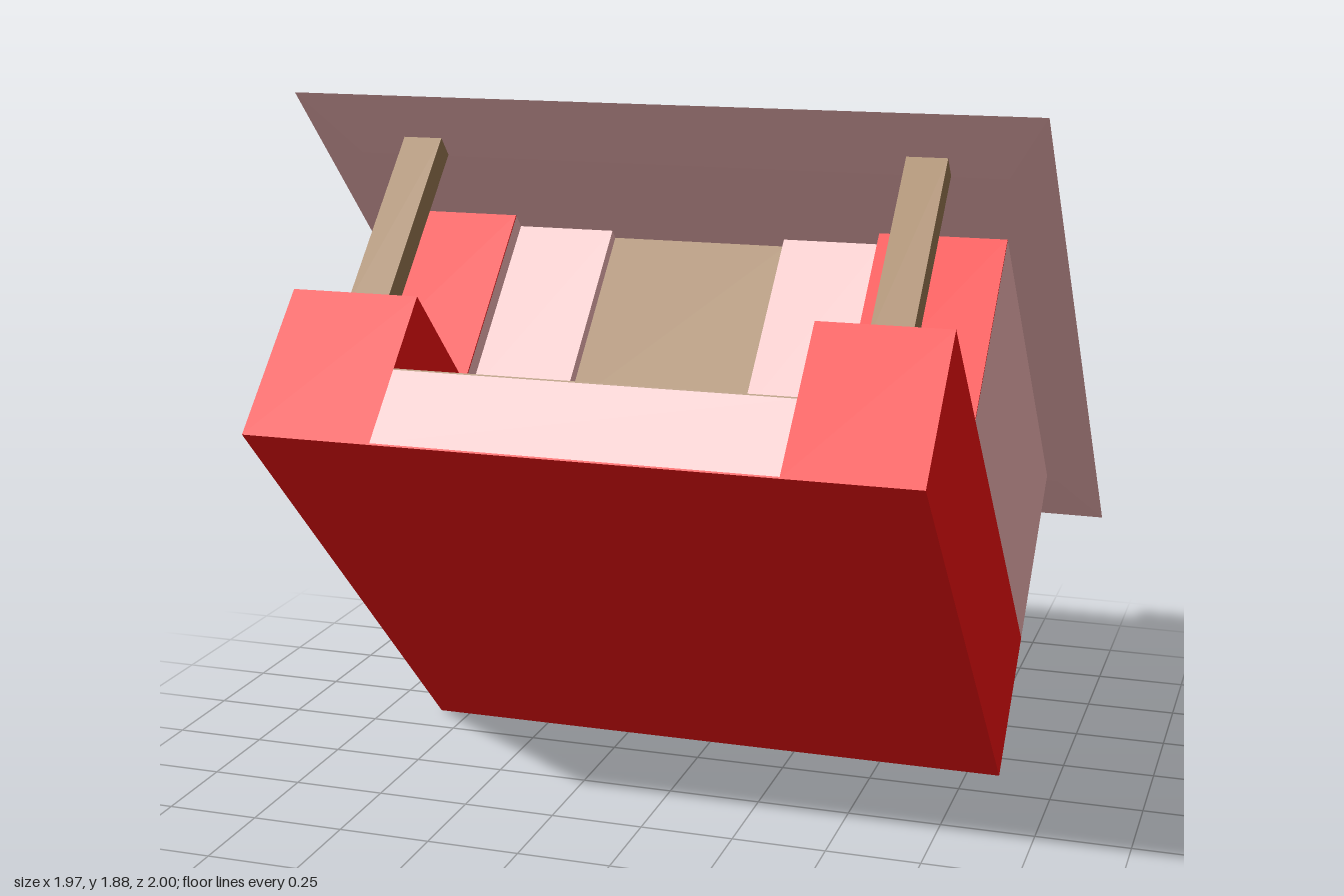
import * as THREE from 'three';

const material = (color) => new THREE.MeshStandardMaterial({ color, flatShading: true });

export function createModel() {
  const red = material(0xff1111);
  const pink = material(0xffbfbf);
  const brown = material(0x9e7c55);

  // The whole house leans back 45 degrees
  const house = new THREE.Group();
  house.name = 'house';
  house.rotation.x = -Math.PI / 4;

  // Box given by its limits on each axis
  function block(name, mat, [x0, x1], [y0, y1], [z0, z1]) {
    const mesh = new THREE.Mesh(new THREE.BoxGeometry(x1 - x0, y1 - y0, z1 - z0), mat);
    mesh.position.set((x0 + x1) / 2, (y0 + y1) / 2, (z0 + z1) / 2);
    mesh.name = name;
    house.add(mesh);
  }

  // Same box on both sides of x = 0
  function pair(name, mat, [x0, x1], y, z) {
    block(name + 'Left', mat, [x0, x1], y, z);
    block(name + 'Right', mat, [-x1, -x0], y, z);
  }

  // Four sloping sides and a flat cap between two rectangles
  function hipped(name, mat, eave, cap, facingDown) {
    const ring = ({ w, y, back, front }) =>
      [[-w, y, front], [w, y, front], [w, y, back], [-w, y, back]];
    const a = ring(eave), b = ring(cap);
    const quads = [b];
    for (let i = 0; i < 4; i++) {
      const j = (i + 1) % 4;
      quads.push([a[i], a[j], b[j], b[i]]);
    }
    const points = [];
    for (const quad of quads) {
      const [p, q, r, s] = facingDown ? [...quad].reverse() : quad;
      points.push(...p, ...q, ...r, ...p, ...r, ...s);
    }
    const geometry = new THREE.BufferGeometry();
    geometry.setAttribute('position', new THREE.Float32BufferAttribute(points, 3));
    geometry.computeVertexNormals();
    const mesh = new THREE.Mesh(geometry, mat);
    mesh.name = name;
    house.add(mesh);
  }

  const bottom = 0.087, deck = 0.515, wallTop = 1.06, back = -0.087, front = 1.506;

  // Foundation with cheeks either side of the steps
  block('foundation', red, [-0.84, 0.84], [bottom, deck], [back, 1.02]);
  pair('foundationCheek', red, [0.505, 0.84], [bottom, deck], [1.02, front]);
  block('foundationFloor', red, [-0.505, 0.505], [bottom, bottom + 0.005], [1.02, front]);

  // Steps: pink risers with brown treads
  const steps = [[0.304, 1.294, front], [0.417, 1.1, 1.294], [0.518, 1.02, 1.1]];
  for (const [top, z0, z1] of steps) {
    block('stepRiser', pink, [-0.505, 0.505], [bottom + 0.005, top - 0.004], [z0, z1]);
    block('stepTread', brown, [-0.505, 0.505], [top - 0.004, top], [z0, z1]);
  }

  // Walls, with the door set back in an alcove
  block('walls', pink, [-0.84, 0.84], [deck, wallTop], [back, 1.0]);
  pair('frontWall', pink, [0.505, 0.84], [deck, wallTop], [1.0, 1.106]);
  pair('frontPanel', red, [0.505, 0.84], [deck, wallTop], [1.106, 1.11]);
  pair('alcoveWall', pink, [0.24, 0.505], [deck, wallTop], [1.0, 1.06]);
  block('door', brown, [-0.24, 0.24], [deck, wallTop], [1.0, 1.028]);

  // Porch posts
  pair('porchPost', brown, [0.62, 0.725], [deck, 1.065], [1.368, 1.433]);

  // Hipped roof, shallow underside and chimney
  const eave = { w: 0.985, y: 1.07, back: -0.343, front: 1.591 };
  hipped('roof', red, eave, { w: 0.54, y: 1.397, back: 0.141, front: 1.11 }, false);
  hipped('roofUnderside', pink, eave, { w: 0.87, y: 1.056, back: -0.115, front: 1.363 }, true);
  block('chimney', brown, [0.27, 0.535], [1.38, 1.543], [0.566, 0.774]);

  const model = new THREE.Group();
  model.name = 'tiltedHouse';
  model.add(house);
  return model;
}
